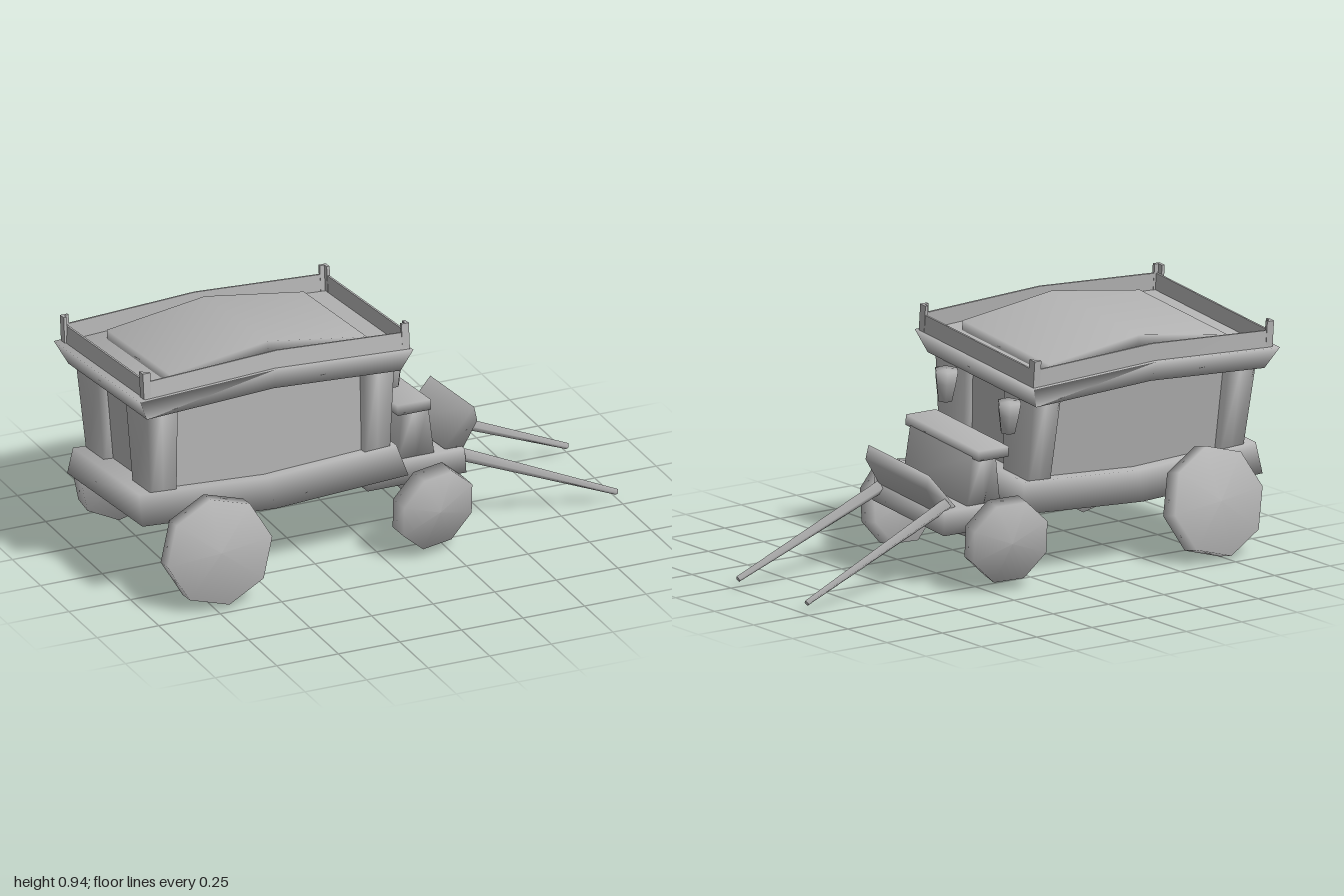
import * as THREE from 'three';
import { mergeVertices, toCreasedNormals } from 'three/addons/utils/BufferGeometryUtils.js';

const paint = new THREE.MeshStandardMaterial({ color: 0xb4b4b4 });
paint.name = 'plain grey';

function add(parent, name, geometry) {
  const mesh = new THREE.Mesh(geometry, paint);
  mesh.name = name;
  parent.add(mesh);
  return mesh;
}

// Shares corner normals so a part shades softly
function soften(g) {
  g.deleteAttribute('normal');
  g.deleteAttribute('uv');
  const merged = mergeVertices(g);
  merged.computeVertexNormals();
  return merged;
}

// Stacks rectangles [x0, x1, z0, z1, y]; bow lifts the middle of the long sides
function loft(sections, bow = 0, crease = 0) {
  const pos = [], idx = [];
  const quad = (a, b, c, d) => idx.push(a, b, c, a, c, d);
  for (const [x0, x1, z0, z1, y] of sections) {
    const xm = (x0 + x1) / 2;
    pos.push(x0, y, z1, xm, y + bow, z1, x1, y, z1, x1, y, z0, xm, y + bow, z0, x0, y, z0);
  }
  for (let i = 0; i < sections.length - 1; i++) {
    for (let j = 0; j < 6; j++) {
      const a = i * 6 + j, b = i * 6 + (j + 1) % 6;
      quad(a, b, b + 6, a + 6);
    }
  }
  const t = (sections.length - 1) * 6;
  quad(t, t + 1, t + 4, t + 5);
  quad(t + 1, t + 2, t + 3, t + 4);
  quad(5, 4, 1, 0);
  quad(4, 3, 2, 1);
  const g = new THREE.BufferGeometry();
  g.setAttribute('position', new THREE.Float32BufferAttribute(pos, 3));
  g.setIndex(idx);
  g.computeVertexNormals();
  return crease ? toCreasedNormals(g, crease) : g;
}

// Tapered rod between two points
function rod(a, b, ra, rb, sides) {
  const dir = b.clone().sub(a);
  const g = new THREE.CylinderGeometry(rb, ra, dir.length(), sides);
  g.applyQuaternion(new THREE.Quaternion().setFromUnitVectors(
    new THREE.Vector3(0, 1, 0), dir.normalize()));
  const m = a.clone().add(b).multiplyScalar(0.5);
  return g.translate(m.x, m.y, m.z);
}

// Eight-sided solid wheel with domed faces, axis along z
function wheelGeometry(r, spin) {
  const profile = [[0, -0.05], [r, -0.037], [r, 0.037], [0, 0.054]];
  return new THREE.LatheGeometry(profile.map(p => new THREE.Vector2(...p)), 8, spin)
    .rotateX(Math.PI / 2);
}

export function createModel() {
  const model = new THREE.Group();
  model.name = 'carriage';

  // The body leans to one side on its running gear
  const body = new THREE.Group();
  body.name = 'leaningBody';
  body.position.z = 0.03;
  body.rotation.x = -0.095;
  model.add(body);

  // Sagging floor
  add(body, 'floor', loft([
    [-0.99, 0.09, -0.335, 0.335, 0.3],
    [-0.98, 0.065, -0.295, 0.295, 0.41],
  ], -0.03));

  // Cabin walls and corner pillars
  add(body, 'cabinWalls', loft([
    [-0.89, 0.0, -0.25, 0.25, 0.35],
    [-0.91, 0.025, -0.285, 0.285, 0.75],
  ], 0, 0.8));
  for (const s of [1, -1]) {
    const span = (a, b) => s > 0 ? [a, b] : [-b, -a];
    for (const [b0, b1, t0, t1] of [[-0.93, -0.825, -0.945, -0.82], [-0.06, 0.04, -0.065, 0.06]]) {
      add(body, 'pillar', loft([
        [b0, b1, ...span(0.13, 0.28), 0.35],
        [t0, t1, ...span(0.125, 0.318), 0.75],
      ]));
    }
  }

  // Flared roof slab with a thin rail round its edge
  add(body, 'roof', loft([
    [-0.96, 0.07, -0.35, 0.35, 0.72],
    [-1.0, 0.11, -0.384, 0.384, 0.805],
  ], 0.027));
  add(body, 'roofRail', loft([
    [-0.972, 0.102, -0.37, 0.37, 0.795],
    [-0.965, 0.1, -0.366, 0.366, 0.872],
    [-0.957, 0.092, -0.358, 0.358, 0.872],
    [-0.957, 0.092, -0.358, 0.358, 0.806],
  ], 0.027, 0.8));

  // Mound on the roof
  add(body, 'roofMound', loft([
    [-0.83, -0.03, -0.28, 0.28, 0.8],
    [-0.83, -0.03, -0.28, 0.28, 0.85],
  ], 0.057));

  // Corner finials made of two thin plates
  for (const sx of [1, -1]) {
    for (const sz of [1, -1]) {
      const x = -0.4375 + sx * 0.525, z = sz * 0.352;
      add(body, 'cornerFinial', new THREE.BoxGeometry(0.03, 0.1, 0.012)
        .translate(x, 0.858, z + sz * 0.011));
      add(body, 'cornerFinial', new THREE.BoxGeometry(0.012, 0.1, 0.034)
        .translate(x + sx * 0.009, 0.858, z));
    }
  }

  // Driver's platform, seat and slanted footboard
  add(body, 'platform', loft([
    [-0.03, 0.37, -0.23, 0.23, 0.225],
    [-0.03, 0.37, -0.225, 0.225, 0.317],
  ]));
  add(body, 'seatBox', loft([
    [0.105, 0.255, -0.205, 0.205, 0.31],
    [0.135, 0.24, -0.2, 0.2, 0.505],
  ]));
  add(body, 'seatPlank', soften(
    new THREE.BoxGeometry(0.135, 0.04, 0.47).translate(0.17, 0.518, -0.002)));
  const board = new THREE.Shape([[0.3, 0.32], [0.37, 0.3], [0.438, 0.405], [0.428, 0.46]]
    .map(p => new THREE.Vector2(...p)));
  add(body, 'footboard', soften(
    new THREE.ExtrudeGeometry(board, { depth: 0.39, bevelEnabled: false }).translate(0, 0, -0.195)));

  // Lamps on the front of the cabin
  const lampProfile = [[0, 0], [0.029, 0], [0.041, 0.07], [0.047, 0.12], [0, 0.12]]
    .map(p => new THREE.Vector2(...p));
  for (const z of [0.167, -0.238]) {
    add(body, 'lamp', new THREE.LatheGeometry(lampProfile, 6, Math.PI / 6).translate(0.112, 0.595, z));
  }

  // Shafts reaching forward to the ground
  for (const s of [1, -1]) {
    add(model, 'shaft', rod(new THREE.Vector3(0.34, 0.315, s * 0.195),
      new THREE.Vector3(0.99, 0.038, s * 0.22), 0.026, 0.012, 4));
  }

  // Axles
  for (const [x, y, half] of [[0.19, 0.19, 0.33], [-0.72, 0.205, 0.38]]) {
    add(model, 'axle', rod(new THREE.Vector3(x, y, -half), new THREE.Vector3(x, y, half), 0.038, 0.038, 8));
  }

  // Crooked wheels: x, y, z, radius, spin, camber, yaw
  for (const [name, x, y, z, r, spin, camber, yaw] of [
    ['rearWheel', -0.725, 0.219, 0.412, 0.21, 0.12, -0.13, -0.06],
    ['rearWheel', -0.725, 0.211, -0.39, 0.21, 0.12, 0.22, 0.05],
    ['frontWheel', 0.183, 0.192, 0.345, 0.163, 0.44, 0.14, 0.16],
    ['frontWheel', 0.183, 0.192, -0.353, 0.163, 0.44, -0.14, -0.14],
  ]) {
    const g = wheelGeometry(r, spin);
    if (z < 0) g.rotateY(Math.PI);
    const wheel = add(model, name, g);
    wheel.position.set(x, y, z);
    wheel.rotation.set(camber, yaw, 0);
  }
  return model;
}
